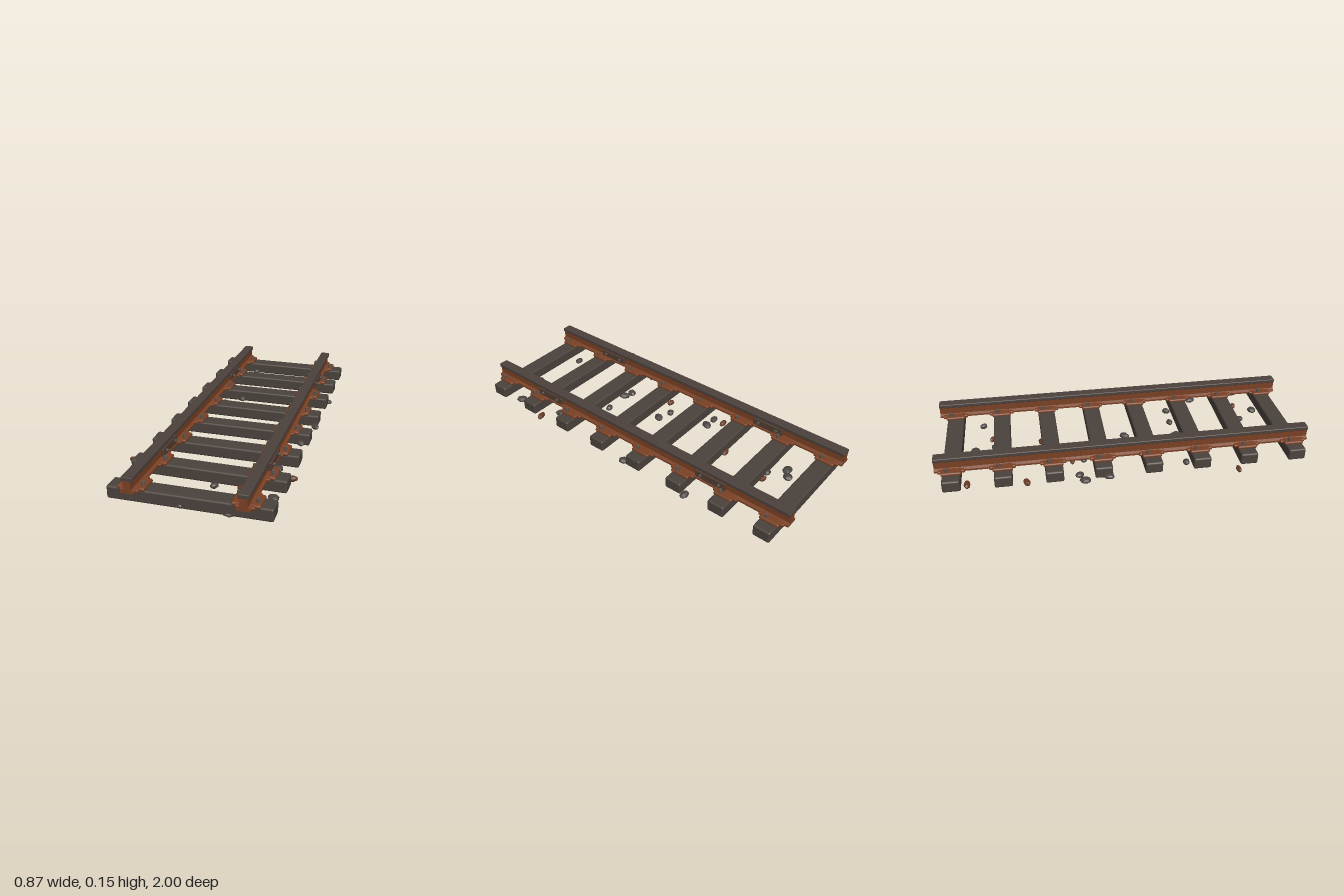
import * as THREE from 'three';
import { RoundedBoxGeometry } from 'three/addons/geometries/RoundedBoxGeometry.js';

const mat = (name, color) => {
  const m = new THREE.MeshStandardMaterial({ color });
  m.name = name;
  return m;
};

const add = (parent, name, geo, material, x, y, z) => {
  const mesh = new THREE.Mesh(geo, material);
  mesh.name = name;
  mesh.position.set(x, y, z);
  parent.add(mesh);
  return mesh;
};

// Flattened ball, dented by a rule that depends on direction only
function stoneGeometry(seed, length, narrow) {
  const geo = new THREE.IcosahedronGeometry(1, 1);
  const p = geo.attributes.position;
  const v = new THREE.Vector3();
  for (let k = 0; k < p.count; k++) {
    v.fromBufferAttribute(p, k);
    v.multiplyScalar(0.95 + 0.1 * Math.sin(4 * v.x + seed) * Math.cos(5 * v.z + 3 * v.y + 2 * seed));
    p.setXYZ(k, v.x, v.y, v.z);
  }
  geo.scale(length, 0.016, length * narrow);
  geo.computeVertexNormals();
  geo.computeBoundingBox();
  geo.translate(0, -geo.boundingBox.min.y, 0);
  return geo;
}

export function createModel() {
  const M = {
    wood: mat('weathered wood', 0x4a423c),
    steel: mat('worn steel', 0x4b413c),
    rust: mat('rust', 0x7a4024),
    splice: mat('splice plate brown', 0x513c31),
    bolt: mat('bolt grey', 0x5c554d),
    stone: mat('stone', 0x4a4541),
    rustStone: mat('rusty stone', 0x663a25),
  };
  const model = new THREE.Group();
  model.name = 'railTrack';
  const tieZ = Array.from({ length: 8 }, (_, i) => -0.913 + i * 0.2609);

  // Wooden ties, each turned very slightly
  const tieGeo = new RoundedBoxGeometry(0.78, 0.064, 0.093, 2, 0.009);
  tieZ.forEach((z, i) => {
    const tie = add(model, 'tie', tieGeo, M.wood, 0.022, 0.043, z);
    tie.rotation.y = 0.008 * Math.sin(i * 2.3 + 4);
  });

  // Rail body: foot and web in one profile
  const foot = 0.032, web = 0.018;
  const profile = new THREE.Shape();
  profile.moveTo(-foot, 0.073);
  profile.lineTo(foot, 0.073);
  profile.lineTo(foot, 0.083);
  profile.lineTo(web, 0.091);
  profile.lineTo(web, 0.134);
  profile.lineTo(-web, 0.134);
  profile.lineTo(-web, 0.091);
  profile.lineTo(-foot, 0.083);
  const bodyGeo = new THREE.ExtrudeGeometry(profile, { depth: 2, bevelEnabled: false });
  bodyGeo.translate(0, 0, -1);
  const headGeo = new RoundedBoxGeometry(0.054, 0.022, 2, 2, 0.004);

  const plateGeo = new RoundedBoxGeometry(0.134, 0.019, 0.105, 2, 0.008);
  const plateCentreGeo = new RoundedBoxGeometry(0.09, 0.017, 0.138, 2, 0.006);
  const spikeGeo = new THREE.CylinderGeometry(0.009, 0.01, 0.024, 8);
  const spliceGeo = new RoundedBoxGeometry(0.016, 0.042, 0.18, 2, 0.004);
  const boltGeo = new THREE.CylinderGeometry(0.008, 0.008, 0.013, 6);
  boltGeo.rotateZ(Math.PI / 2);

  for (const x of [-0.246, 0.29]) {
    const rail = new THREE.Group();
    rail.name = 'rail';
    rail.position.x = x;
    model.add(rail);
    add(rail, 'railBody', bodyGeo, M.rust, 0, 0, 0);
    add(rail, 'railHead', headGeo, M.steel, 0, 0.142, 0);

    // Tie plates with a spike on either side of the rail
    for (const z of tieZ) {
      add(rail, 'tiePlate', plateGeo, M.rust, 0, 0.0795, z);
      add(rail, 'tiePlateCentre', plateCentreGeo, M.rust, 0, 0.0785, z);
      for (const s of [-1, 1]) add(rail, 'spike', spikeGeo, M.bolt, s * 0.05, 0.098, z + s * 0.02);
    }

    // Bolted splice plates along the +x side
    for (const z of [0.562, -0.555]) {
      add(rail, 'splicePlate', spliceGeo, M.splice, 0.026, 0.111, z);
      for (const dz of [-0.055, 0.055]) add(rail, 'spliceBolt', boltGeo, M.bolt, 0.039, 0.113, z + dz);
    }
  }

  // Loose stones, placed by x and z; sizes follow a rule
  const scatter = (name, material, spots, narrow, spin) => spots.forEach(([x, z], i) => {
    const length = 0.028 + 0.005 * Math.sin(i * 1.9 + 1);
    const geo = stoneGeometry(i, length, narrow + 0.08 * Math.sin(i * 1.7));
    const stone = add(model, name, geo, material, x, 0.004 * (i % 3), z);
    stone.rotation.y = spin * Math.sin(i * 2.1);
  });
  scatter('stone', M.stone, [
    [-0.08, -0.77], [-0.03, -0.8], [0.21, -0.76], [0.4, -0.46], [-0.38, -0.235],
    [-0.335, -0.26], [-0.19, -0.225], [-0.12, -0.225], [-0.105, -0.345], [0, -0.695],
    [-0.365, -0.11], [0.4, -0.06], [-0.085, 0.008], [-0.005, 0.03], [0.368, 0.175],
    [-0.3, 0.32], [-0.09, 0.305], [-0.04, 0.32], [0.1, 0.315], [0.22, 0.32],
    [0.32, 0.49], [-0.15, 0.805], [0.07, 0.73], [0.365, 0.77], [0.16, 0.835],
    [-0.155, 0.936], [-0.02, 0.94], [0.21, 0.938], [-0.155, -0.87],
  ], 0.78, 1.2);
  scatter('rustyStone', M.rustStone, [
    [-0.32, -0.84], [-0.354, -0.535], [0.065, -0.71], [-0.195, -0.285], [0.005, -0.435],
    [-0.155, 0.06], [-0.405, 0.58], [0.405, 0.565], [0.205, 0.73], [-0.18, 0.665],
  ], 0.55, 0.4);

  return model;
}
